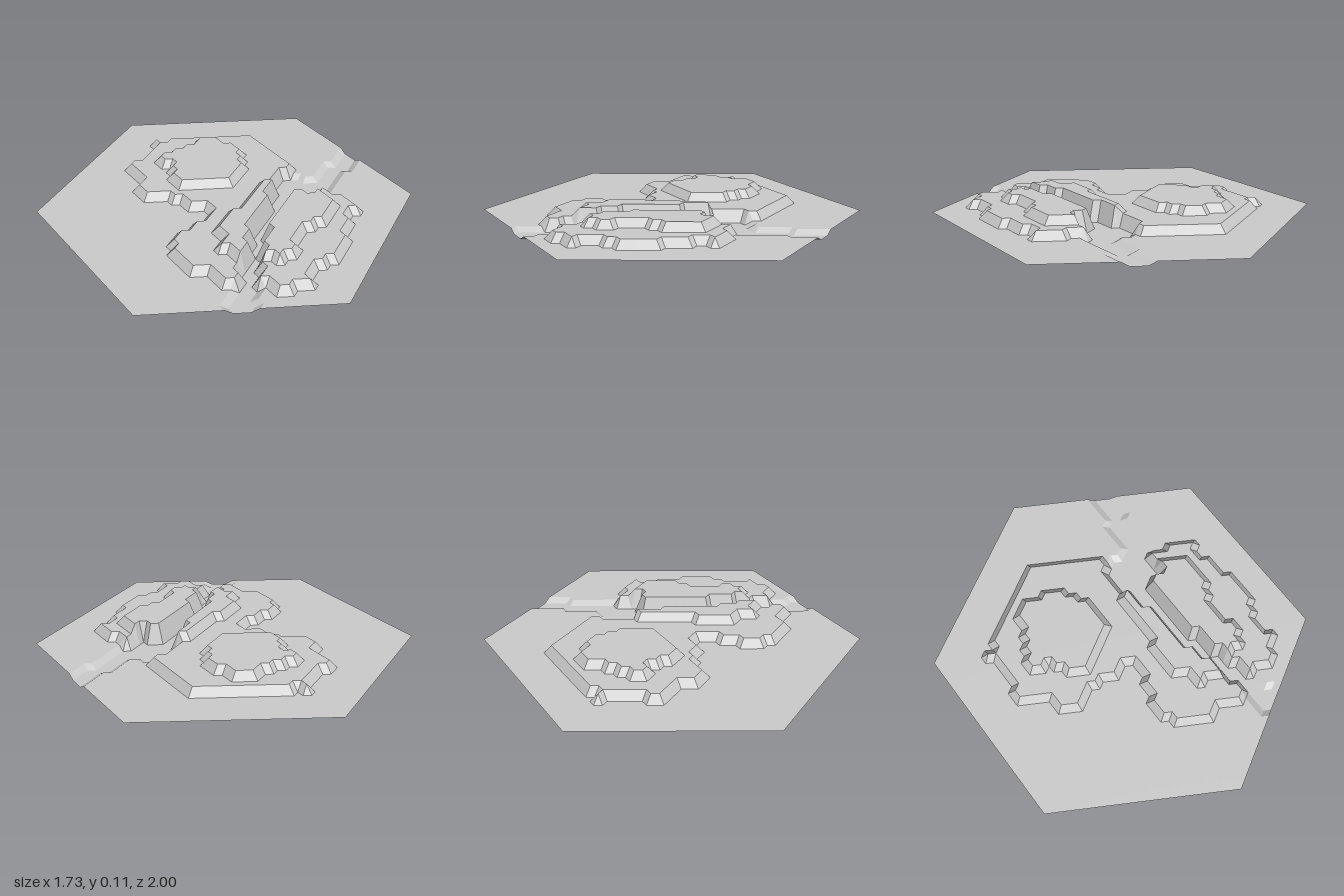
import * as THREE from 'three';

// Terrain sheet: a hexagon split into a triangular lattice, each vertex snapped to a level.
const RINGS = 24;
const STEP = 1 / RINGS;
const COLUMN = STEP * Math.sqrt(3) / 2;
const LEVELS = [0, 0.022, 0.066, 0.109]; // river, ground, lower hill, upper hill

// Outlines in plan, as [x, z]
const northBank = [
  [-0.52, 0.72], [-0.37, 0.61], [-0.26, 0.51], [-0.15, 0.41], [-0.1, 0.35], [0.03, 0.25], [0.14, 0.18],
  [0.22, 0.11], [0.32, 0.0], [0.41, -0.04], [0.47, 0.0], [0.51, 0.08], [0.61, 0.045], [0.75, -0.01], [0.9, -0.09],
];
const southBank = [
  [-0.38, 0.78], [-0.29, 0.68], [-0.23, 0.61], [-0.15, 0.53], [-0.08, 0.44], [0.01, 0.36], [0.11, 0.29],
  [0.19, 0.23], [0.27, 0.18], [0.32, 0.22], [0.38, 0.27], [0.46, 0.23], [0.61, 0.16], [0.75, 0.11], [0.9, 0.04],
];
const river = [...northBank, ...southBank.reverse(), [-0.5, 0.9]];

const lowerHills = [
  // north hill, clockwise from its peak
  [0, -0.74], [0.03, -0.68], [0.1, -0.66], [0.19, -0.63], [0.28, -0.59], [0.36, -0.52], [0.49, -0.44], [0.49, -0.06],
  [0.44, 0.0], [0.44, 0.2],
  // south hill
  [0.49, 0.23], [0.49, 0.31], [0.525, 0.34], [0.525, 0.46], [0.44, 0.47], [0.4, 0.53], [0.3, 0.6], [0.28, 0.68],
  [0.14, 0.71], [0.06, 0.71], [-0.04, 0.75], [-0.06, 0.8], [-0.21, 0.77], [-0.25, 0.73], [-0.24, 0.66],
  // west shoulder and neck
  [-0.37, 0.6], [-0.42, 0.58], [-0.42, 0.42], [-0.48, 0.41], [-0.48, 0.22], [-0.45, 0.2], [-0.45, 0.14],
  [-0.34, 0.11], [-0.21, 0.09], [-0.2, 0.06], [-0.12, 0.09], [-0.12, -0.01], [-0.18, -0.06], [-0.21, -0.15],
  [-0.28, -0.22], [-0.36, -0.27], [-0.36, -0.34], [-0.26, -0.41], [-0.26, -0.56], [-0.21, -0.59],
  [-0.11, -0.63], [-0.03, -0.68],
];
const northPeak = [
  [-0.1, -0.5], [0.01, -0.53], [0.06, -0.51], [0.15, -0.53], [0.26, -0.52], [0.26, -0.39], [0.315, -0.37],
  [0.315, -0.3], [0.27, -0.26], [0.25, -0.19], [0.16, -0.1], [0.06, -0.07], [-0.05, -0.13], [-0.16, -0.2],
  [-0.165, -0.32], [-0.11, -0.35], [-0.1, -0.42], [-0.13, -0.46],
];
const canyonRidges = [
  // ridge north of the river
  [0.31, -0.01], [0.24, 0.03], [0.15, 0.07], [0.03, 0.14], [-0.15, 0.17], [-0.23, 0.26], [-0.24, 0.33],
  [-0.3, 0.37], [-0.26, 0.42], [-0.26, 0.5],
  // ridge south of the river
  [-0.14, 0.55], [-0.12, 0.62], [0, 0.6], [0.02, 0.54], [0.1, 0.52], [0.13, 0.48], [0.22, 0.5],
  [0.32, 0.44], [0.42, 0.42], [0.43, 0.35], [0.4, 0.27], [0.32, 0.15],
];

function inside(x, z, outline) {
  let hit = false;
  outline.forEach(([ax, az], i) => {
    const [bx, bz] = outline[(i + 1) % outline.length];
    if ((az > z) !== (bz > z) && x < ax + (bx - ax) * (z - az) / (bz - az)) hit = !hit;
  });
  return hit;
}

function levelAt(x, z) {
  if (inside(x, z, river)) return 0;
  if (inside(x, z, northPeak) || inside(x, z, canyonRidges)) return 3;
  return inside(x, z, lowerHills) ? 2 : 1;
}

export function createModel() {
  const parts = { riverBed: [], ground: [], lowerHillTop: [], upperHillTop: [], riverBanks: [], hillSlopes: [] };
  const flatNames = ['riverBed', 'ground', 'lowerHillTop', 'upperHillTop'];

  // Sort each lattice triangle into a part by the levels of its corners
  const addTriangle = (...corners) => {
    const points = corners.map(([column, z]) => ({ x: column * COLUMN, z, level: levelAt(column * COLUMN, z) }));
    const levels = points.map((p) => p.level);
    const low = Math.min(...levels);
    let name = flatNames[low];
    if (Math.max(...levels) > low) name = low === 0 ? 'riverBanks' : 'hillSlopes';
    for (const p of points) parts[name].push(p.x, LEVELS[p.level], p.z);
  };

  // Walk the strips between neighbouring columns of vertices
  const reach = (column) => 1 - Math.abs(column) * STEP / 2;
  const segments = (column) => 2 * RINGS - Math.abs(column);
  for (let c = -RINGS; c < RINGS; c++) {
    for (let k = 0; k < segments(c); k++) {
      const z = -reach(c) + k * STEP;
      addTriangle([c, z], [c, z + STEP], [c + 1, z + STEP / 2]);
    }
    for (let k = 0; k < segments(c + 1); k++) {
      const z = -reach(c + 1) + k * STEP;
      addTriangle([c + 1, z + STEP], [c + 1, z], [c, z + STEP / 2]);
    }
  }

  // The sheet has no thickness, so both sides show
  const material = new THREE.MeshStandardMaterial({ color: 0xcccccc, flatShading: true, side: THREE.DoubleSide });
  const group = new THREE.Group();
  group.name = 'hexTerrain';
  for (const [name, positions] of Object.entries(parts)) {
    const geometry = new THREE.BufferGeometry();
    geometry.setAttribute('position', new THREE.Float32BufferAttribute(positions, 3));
    geometry.computeVertexNormals();
    const mesh = new THREE.Mesh(geometry, material);
    mesh.name = name;
    group.add(mesh);
  }
  return group;
}
